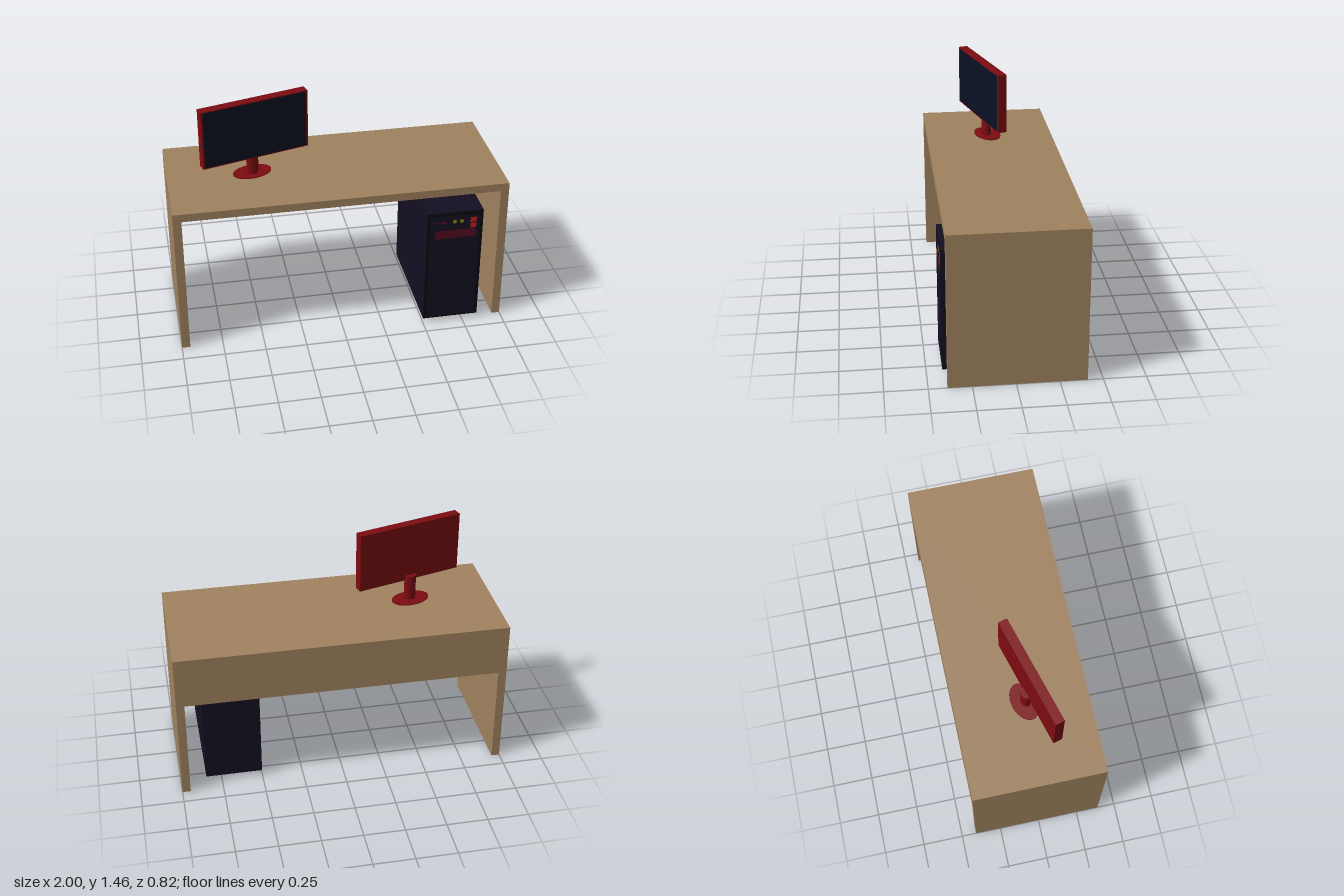
import * as THREE from 'three';

const mat = (color) => new THREE.MeshStandardMaterial({ color });
const wood = mat(0xa0825f), red = mat(0x7d0c11), caseDark = mat(0x130f21), trim = mat(0x0a0812);
const glass = mat(0x0b1124), bayRed = mat(0x560a20), lampYellow = mat(0x8c8c0a), buttonRed = mat(0xd01a12);

// Box given by its min and max corners
function box(parent, name, material, [x0, y0, z0], [x1, y1, z1]) {
  const mesh = new THREE.Mesh(new THREE.BoxGeometry(x1 - x0, y1 - y0, z1 - z0), material);
  mesh.position.set((x0 + x1) / 2, (y0 + y1) / 2, (z0 + z1) / 2);
  mesh.name = name;
  parent.add(mesh);
  return mesh;
}

// Upright cylinder with an elliptical section
function ellipticCylinder(parent, name, material, rx, rz, y0, y1) {
  const mesh = new THREE.Mesh(new THREE.CylinderGeometry(1, 1, y1 - y0, 32), material);
  mesh.scale.set(rx, 1, rz);
  mesh.position.y = (y0 + y1) / 2;
  mesh.name = name;
  parent.add(mesh);
  return mesh;
}

function createDesk() {
  const desk = new THREE.Group();
  desk.name = 'desk';
  const back = -0.41, front = 0.39, top = 0.945, t = 0.05;
  box(desk, 'deskTop', wood, [-1, top - t, back], [1, top, front]);
  box(desk, 'leftSide', wood, [1 - t, 0, back], [1, top - t, front]);
  box(desk, 'rightSide', wood, [-1, 0, back], [-1 + t, top - t, front]);
  box(desk, 'modestyPanel', wood, [-1 + t, 0.63, back], [1 - t, top - t, back + t]);
  return desk;
}

function createComputer() {
  const tower = new THREE.Group();
  tower.name = 'computerTower';
  const x0 = 0.5, x1 = 0.845, y0 = 0.03, y1 = 0.79, f = 0.408;
  box(tower, 'towerCase', caseDark, [x0, y0, -0.325], [x1, y1, f]);

  // Dark border around the front
  const e = f + 0.001;
  box(tower, 'frontTopTrim', trim, [x0, 0.765, f], [x1, y1, e]);
  box(tower, 'frontBottomTrim', trim, [x0, y0, f], [x1, y0 + 0.012, e]);
  box(tower, 'frontRightTrim', trim, [x0, y0, f], [x0 + 0.02, 0.765, e]);
  box(tower, 'frontLeftTrim', trim, [x1 - 0.02, y0, f], [x1, 0.765, e]);

  // Drive bay, ports, lamps and buttons
  const g = f + 0.002;
  box(tower, 'driveBay', bayRed, [0.55, 0.61, f], [0.805, 0.665, g]);
  box(tower, 'smallPort', bayRed, [0.55, 0.719, f], [0.575, 0.727, g]);
  box(tower, 'widePort', bayRed, [0.588, 0.716, f], [0.625, 0.728, g]);
  for (const x of [0.67, 0.713]) {
    const lamp = new THREE.Mesh(new THREE.CylinderGeometry(0.012, 0.012, 0.002, 20), lampYellow);
    lamp.rotation.x = Math.PI / 2;
    lamp.position.set(x, 0.724, f + 0.001);
    lamp.name = 'audioJack';
    tower.add(lamp);
  }
  for (const y of [0.672, 0.712]) box(tower, 'button', buttonRed, [0.768, y, f], [0.804, y + 0.032, g]);
  return tower;
}

function createMonitor() {
  const monitor = new THREE.Group();
  monitor.name = 'monitor';

  // Stand
  const stand = new THREE.Group();
  stand.name = 'monitorStand';
  stand.position.set(-0.49, 0, 0.006);
  ellipticCylinder(stand, 'standBase', red, 0.12, 0.077, 0.962, 0.968);
  ellipticCylinder(stand, 'standNeck', red, 0.037, 0.029, 0.968, 1.125).position.z = 0.008;

  // Display panel
  const display = new THREE.Group();
  display.name = 'display';
  display.position.set(-0.474, 0, 0.041);
  box(display, 'displayCase', red, [-0.336, 1.093, -0.0285], [0.336, 1.462, 0.0275]);
  box(display, 'screen', glass, [-0.324, 1.1, 0.0275], [0.324, 1.455, 0.0285]);

  // Both are turned slightly towards the middle of the desk
  for (const part of [stand, display]) {
    part.rotation.y = THREE.MathUtils.degToRad(15.7);
    monitor.add(part);
  }
  return monitor;
}

export function createModel() {
  const model = new THREE.Group();
  model.name = 'computerDesk';
  model.add(createDesk(), createComputer(), createMonitor());
  return model;
}
